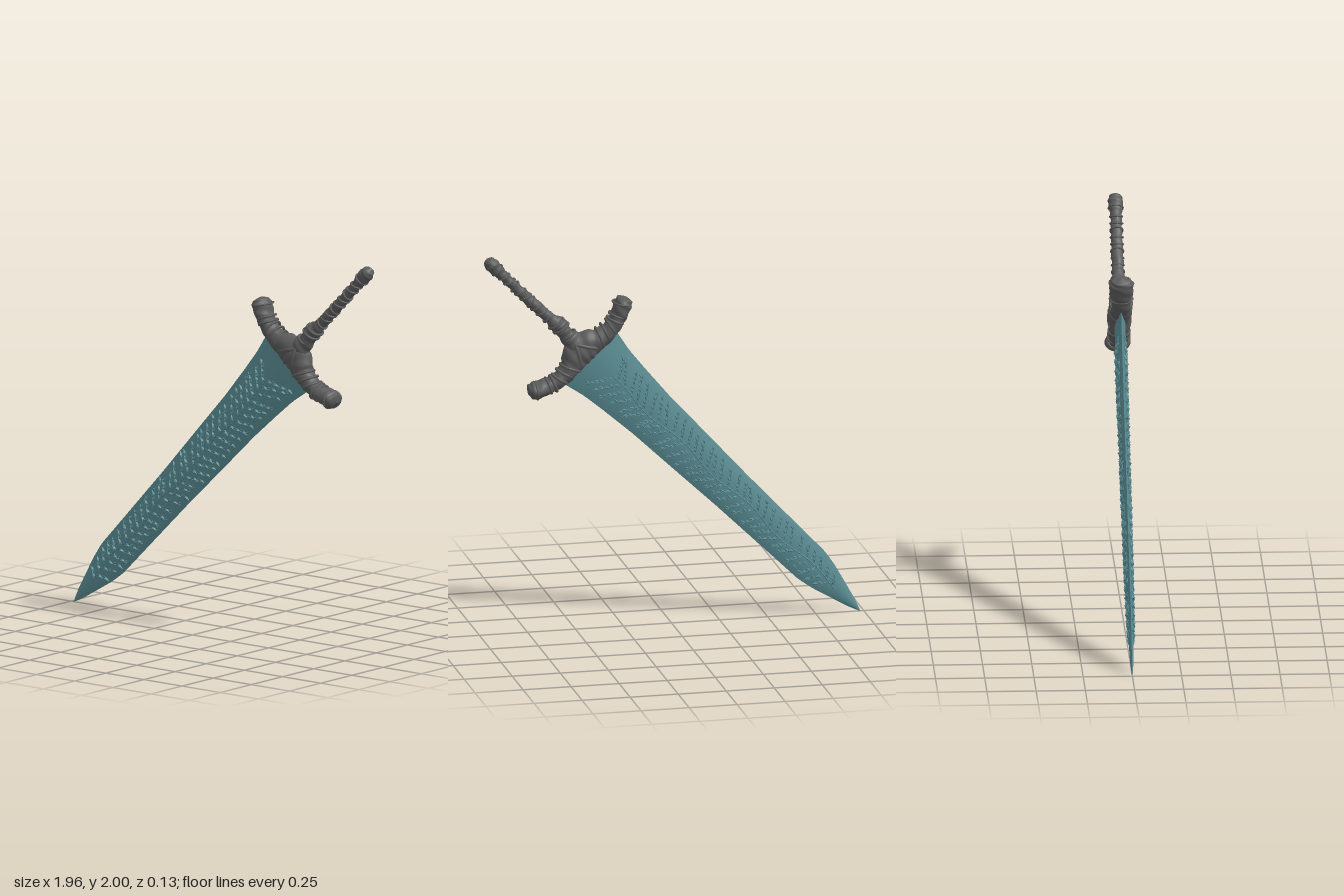
import * as THREE from 'three';
import { mergeGeometries, mergeVertices } from 'three/addons/utils/BufferGeometryUtils.js';

// Linear interpolation in a table of [key, ...values] rows
function sample(rows, k) {
  let i = 0;
  while (i < rows.length - 2 && k > rows[i + 1][0]) i++;
  const a = rows[i], b = rows[i + 1];
  const f = THREE.MathUtils.clamp((k - a[0]) / (b[0] - a[0]), 0, 1);
  return a.map((v, j) => v + (b[j] - v) * f);
}

// Surface grid from fn(u, v) => [x, y, z]; faces point along du x dv
function grid(fn, nu, nv) {
  const pos = [], idx = [];
  for (let j = 0; j <= nv; j++)
    for (let i = 0; i <= nu; i++) pos.push(...fn(i / nu, j / nv));
  for (let j = 0; j < nv; j++)
    for (let i = 0; i < nu; i++) {
      const a = j * (nu + 1) + i, b = a + 1, d = a + nu + 1, c = d + 1;
      idx.push(a, b, d, b, c, d);
    }
  let g = new THREE.BufferGeometry();
  g.setAttribute('position', new THREE.Float32BufferAttribute(pos, 3));
  g.setIndex(idx);
  g = mergeVertices(g, 1e-5);
  g.computeVertexNormals();
  return g;
}

// Elliptical tube through stations [x, y, in-plane radius, depth radius]
function sweep(st, nv, wobble) {
  const c = new THREE.CatmullRomCurve3(st.map(p => new THREE.Vector3(p[0], p[1], 0)), false, 'centripetal');
  const table = st.map((p, i) => [i / (st.length - 1), p[2], p[3]]);
  return grid((u, v) => {
    const p = c.getPoint(v), t = c.getTangent(v), a = u * Math.PI * 2;
    const [, h, z] = sample(table, v), k = 1 + wobble(a, v);
    const n = h * k * Math.cos(a);
    return [p.x - t.y * n, p.y + t.x * n, z * k * Math.sin(a)];
  }, 24, nv);
}

// Ring around a limb whose direction is turned by angle from +x
function band(x, y, angle, h, z, r) {
  const g = new THREE.TorusGeometry(1, r / h, 8, 28);
  g.rotateY(Math.PI / 2).scale(h, h, z).rotateZ(angle).translate(x, y, 0);
  return g;
}

// Blade outline: [distance from tip, half width, half thickness]
const OUTLINE = [
  [0, 0.002, 0.002], [0.06, 0.025, 0.008], [0.17, 0.055, 0.012], [0.27, 0.082, 0.015],
  [0.36, 0.098, 0.017], [0.6, 0.103, 0.02], [0.95, 0.111, 0.022], [1.3, 0.125, 0.023],
  [1.55, 0.134, 0.025], [1.75, 0.15, 0.026], [1.88, 0.163, 0.027], [2.03, 0.194, 0.028],
];
function bladeZ(s, t) {
  const [, w, z] = sample(OUTLINE, t);
  return z * (1 - Math.pow(Math.min(1, Math.abs(s / w)), 1.9));
}

export function createModel() {
  const model = new THREE.Group();
  const sword = new THREE.Group();
  sword.name = 'sword';
  sword.position.set(-0.98, 0.01, 0);
  sword.rotation.z = -Math.atan2(0.7, 0.714);
  model.add(sword);

  const teal = new THREE.MeshStandardMaterial({ color: 0x5a8d94 });
  teal.name = 'tealBlade';
  const grey = new THREE.MeshStandardMaterial({ color: 0x5c5c5c });
  grey.name = 'darkGrey';
  const add = (name, geo, mat) => {
    const m = new THREE.Mesh(geo, mat);
    m.name = name;
    sword.add(m);
  };

  let seed = 7;
  const rand = () => (seed = (seed * 16807) % 2147483647) / 2147483647;

  // Two curved blade faces meeting at sharp edges, each with a leafy vine in relief
  for (const side of [1, -1]) {
    const face = grid((u, v) => {
      const t = v * 2.03, s = (u * 2 - 1) * sample(OUTLINE, t)[1] * side;
      return [s, t, side * bladeZ(s, t)];
    }, 20, 60);
    add(side > 0 ? 'bladeFront' : 'bladeBack', face, teal);

    const leaves = [];
    const leaf = (s, t, dir, len, wid, high) => {
      const g = new THREE.OctahedronGeometry(1);
      g.scale(wid, len, high).rotateZ(dir).translate(s, t, side * (bladeZ(s, t) + 0.001));
      leaves.push(g);
    };
    const stemAt = t => 0.012 * Math.sin(t * 13);
    let flip = 1;
    for (let t = 0.2; t < 1.86; t += 0.026) {
      // stem joint, then a twig with leaves on both of its sides
      leaf(stemAt(t), t, -0.15 * Math.cos(t * 13), 0.022, 0.004, 0.007);
      flip = -flip;
      const reach = sample(OUTLINE, t)[1] * (0.62 + 0.16 * rand());
      const lean = 0.65 + 0.3 * rand();
      const n = Math.max(3, Math.round(reach / 0.018));
      for (let i = 1; i <= n; i++) {
        const d = reach * i / n;
        const s = stemAt(t) * (1 - i / n) + flip * d, y = t + d / Math.tan(lean) * 0.7;
        if (y > 1.95) continue;
        leaf(s, y, -flip * lean, 0.013, 0.003, 0.006);
        const turn = i % 2 ? 0.6 : -0.6;
        leaf(s + flip * 0.005 * turn, y + 0.007, -flip * (lean + turn) + (rand() - 0.5) * 0.5,
          0.014 + 0.008 * rand(), 0.005, 0.007 + 0.004 * rand());
      }
    }
    add(side > 0 ? 'leafReliefFront' : 'leafReliefBack', mergeGeometries(leaves), teal);
  }

  // Crossguard with raised middle, upswept arms and bulbous ends
  const half = [
    [0.05, 2.064, 0.075, 0.056], [0.1, 2.046, 0.054, 0.054], [0.17, 2.04, 0.044, 0.05],
    [0.225, 2.052, 0.04, 0.05], [0.27, 2.07, 0.043, 0.058], [0.315, 2.094, 0.046, 0.062],
    [0.338, 2.106, 0.038, 0.05], [0.35, 2.112, 0.004, 0.004],
  ];
  const guard = [...half.map(p => [-p[0], p[1] - p[0] * 0.04, p[2], p[3]]).reverse(), [0, 2.07, 0.085, 0.058], ...half];
  add('crossguard', sweep(guard, 96, (a, v) =>
    0.035 * Math.sin(v * 95 + a * 2) + 0.025 * Math.sin(a * 5 - v * 40)), grey);

  // Wrappings on the guard: collars, slanted cords and a crossed middle
  const wraps = [];
  for (const m of [-1, 1]) {
    wraps.push(band(m * 0.225, 2.05, m * 0.4, 0.042, 0.053, 0.008));
    wraps.push(band(m * 0.25, 2.061, m * 0.45, 0.042, 0.054, 0.006));
    wraps.push(band(m * 0.312, 2.09, m * 0.65, 0.045, 0.06, 0.005));
    for (const [x, a, h] of [[0.185, -0.25, 0.043], [0.145, -0.35, 0.048], [0.105, -0.45, 0.055]])
      wraps.push(band(m * x, 2.045, m * a, h, 0.053, 0.007));
    wraps.push(band(m * 0.03, 2.075, m * 0.55, 0.088, 0.057, 0.009));
  }
  add('guardWrappings', mergeGeometries(wraps), grey);

  // Grip flaring out of the guard, with a knot low down and a rounded pommel
  const grip = [
    [0, 2.08, 0.075, 0.05], [0, 2.14, 0.052, 0.046], [0, 2.19, 0.037, 0.038],
    [-0.01, 2.235, 0.042, 0.042], [-0.008, 2.27, 0.04, 0.042], [-0.005, 2.31, 0.028, 0.03],
    [-0.002, 2.4, 0.029, 0.03], [0, 2.5, 0.028, 0.029], [0, 2.58, 0.026, 0.028],
    [0, 2.65, 0.026, 0.028], [0, 2.69, 0.033, 0.035], [0, 2.735, 0.037, 0.039],
    [0, 2.765, 0.028, 0.03], [0, 2.78, 0.003, 0.003],
  ];
  add('grip', sweep(grip, 110, (a, v) =>
    0.05 * Math.sin(v * 85 + a) + 0.02 * Math.sin(a * 4 + v * 30)), grey);

  // Tilted cords wound around the grip
  const cords = [];
  for (const [y, r] of [[2.175, 0.04], [2.23, 0.043], [2.265, 0.043]])
    cords.push(band(-0.008, y, Math.PI / 2 + 0.2, r, r, 0.007));
  for (let i = 0; i < 9; i++)
    cords.push(band(0, 2.325 + i * 0.04, Math.PI / 2 + (i % 3 ? 0.35 : -0.2), 0.029, 0.03, 0.006));
  cords.push(band(0, 2.695, Math.PI / 2, 0.034, 0.036, 0.005));
  add('gripCords', mergeGeometries(cords), grey);

  return model;
}
